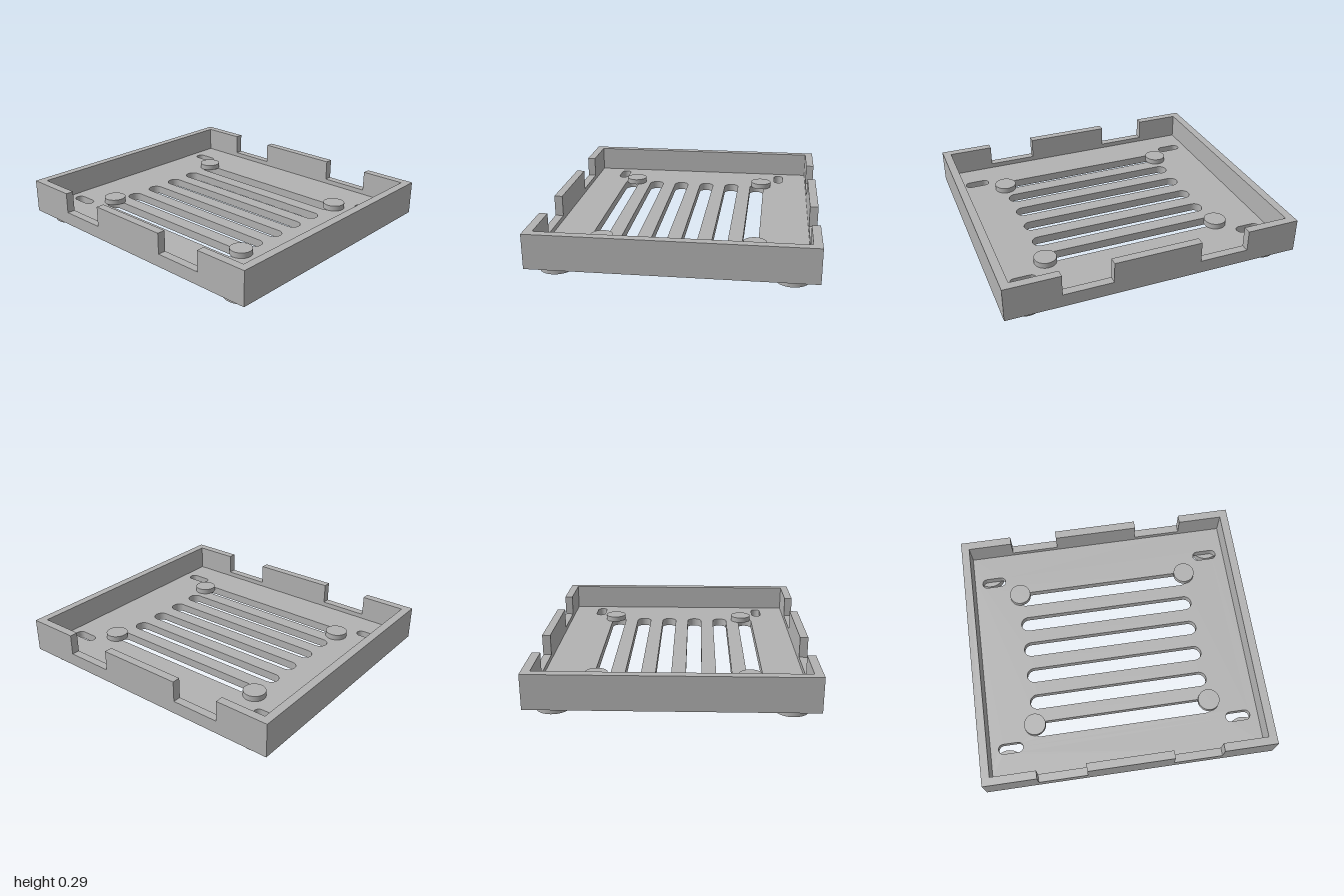
import * as THREE from 'three';

const HALF_X = 1, HALF_Z = 0.906, WALL = 0.056;
const BASE = 0.056, FLOOR = 0.112, NOTCH = 0.145, RIM = 0.287;

// Rounded slot outline, elongated along x
function slot(cx, cz, halfLength, r) {
  const p = new THREE.Path();
  const d = halfLength - r;
  p.absarc(cx + d, cz, r, -Math.PI / 2, Math.PI / 2, false);
  p.absarc(cx - d, cz, r, Math.PI / 2, Math.PI * 1.5, false);
  p.closePath();
  return p;
}

export function createModel() {
  const model = new THREE.Group();
  model.name = 'ventedTray';
  const grey = new THREE.MeshStandardMaterial({ color: 0xb2b2b2 });
  grey.name = 'grey plastic';

  const add = (name, geometry, x, y, z) => {
    const mesh = new THREE.Mesh(geometry, grey);
    mesh.name = name;
    mesh.position.set(x, y, z);
    model.add(mesh);
  };

  // Floor plate with six vents and four small corner slots
  const plate = new THREE.Shape([
    new THREE.Vector2(-HALF_X, -HALF_Z), new THREE.Vector2(HALF_X, -HALF_Z),
    new THREE.Vector2(HALF_X, HALF_Z), new THREE.Vector2(-HALF_X, HALF_Z),
  ]);
  for (let i = 0; i < 6; i++) plate.holes.push(slot(0, -0.468 + i * 0.2, 0.634, 0.052));
  for (const sx of [-1, 1]) {
    for (const sz of [-1, 1]) plate.holes.push(slot(sx * 0.803, sz * 0.637, 0.086, 0.035));
  }
  const floor = new THREE.ExtrudeGeometry(plate, { depth: FLOOR - BASE, bevelEnabled: false, curveSegments: 16 });
  floor.rotateX(Math.PI / 2);
  add('floor', floor, 0, FLOOR, 0);

  // Front and back walls, each with two notches in the rim
  const outline = [
    [-HALF_X, FLOOR], [HALF_X, FLOOR], [HALF_X, RIM],
    [0.634, RIM], [0.634, NOTCH], [0.298, NOTCH], [0.298, RIM],
    [-0.298, RIM], [-0.298, NOTCH], [-0.634, NOTCH], [-0.634, RIM], [-HALF_X, RIM],
  ].map(([x, y]) => new THREE.Vector2(x, y));
  const notchedWall = new THREE.ExtrudeGeometry(new THREE.Shape(outline), { depth: WALL, bevelEnabled: false });
  add('frontWall', notchedWall, 0, 0, HALF_Z - WALL);
  add('backWall', notchedWall, 0, 0, -HALF_Z);

  // Plain side walls
  const sideWall = new THREE.BoxGeometry(WALL, RIM - FLOOR, 2 * (HALF_Z - WALL));
  add('leftWall', sideWall, HALF_X - WALL / 2, (RIM + FLOOR) / 2, 0);
  add('rightWall', sideWall, -HALF_X + WALL / 2, (RIM + FLOOR) / 2, 0);

  // Round standoffs on the floor and feet under the corners
  const standoff = new THREE.CylinderGeometry(0.075, 0.075, 0.15 - FLOOR, 48);
  const foot = new THREE.CylinderGeometry(0.107, 0.107, BASE, 48);
  for (const sx of [-1, 1]) {
    for (const sz of [-1, 1]) {
      add('standoff', standoff, sx * 0.617, (0.15 + FLOOR) / 2, sz * 0.5);
      add('foot', foot, sx * 0.832, BASE / 2, sz * 0.743);
    }
  }
  return model;
}
